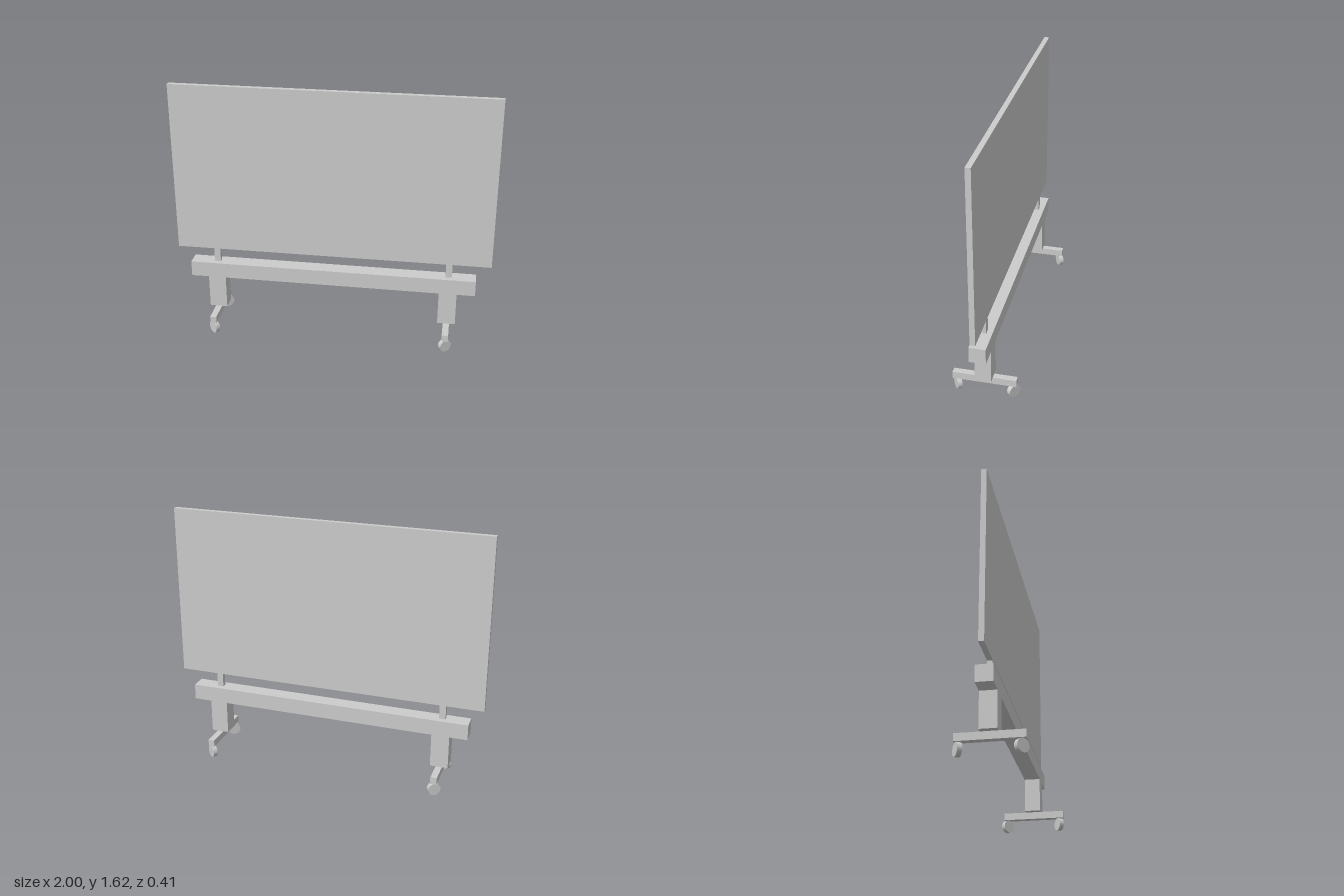
import * as THREE from 'three';

const material = new THREE.MeshStandardMaterial({ color: 0xcccccc });

// Box spanning y0..y1, centred on x, z
function box(name, width, y0, y1, depth, x = 0, z = 0) {
  const mesh = new THREE.Mesh(new THREE.BoxGeometry(width, y1 - y0, depth), material);
  mesh.name = name;
  mesh.position.set(x, (y0 + y1) / 2, z);
  return mesh;
}

// Caster wheel, swivelled about the vertical axis
function caster(name, x, z, degrees) {
  const geometry = new THREE.CylinderGeometry(0.04, 0.04, 0.028, 24).rotateX(Math.PI / 2);
  const mesh = new THREE.Mesh(geometry, material);
  mesh.name = name;
  mesh.position.set(x, 0.04, z);
  mesh.rotation.y = THREE.MathUtils.degToRad(degrees);
  return mesh;
}

export function createModel() {
  const model = new THREE.Group();
  model.name = 'mobileBoard';

  // Board and the beam that carries it
  model.add(box('boardPanel', 2, 0.53, 1.615, 0.032));
  model.add(box('crossBeam', 1.824, 0.34, 0.44, 0.1, -0.002));

  // One stand per side, with differently swivelled casters
  const stands = [
    { side: 'right', x: -0.746, front: -42, back: 33 },
    { side: 'left', x: 0.74, front: 35, back: -40 },
  ];
  for (const { side, x, front, back } of stands) {
    const stand = new THREE.Group();
    stand.name = `${side}Stand`;
    stand.position.x = x;
    stand.add(
      box('boardPost', 0.04, 0.44, 0.53, 0.03),
      box('leg', 0.112, 0.125, 0.34, 0.1),
      box('foot', 0.04, 0.08, 0.125, 0.388, 0, 0.002),
      caster('frontCaster', 0, 0.168, front),
      caster('backCaster', 0, -0.172, back),
    );
    model.add(stand);
  }
  return model;
}
